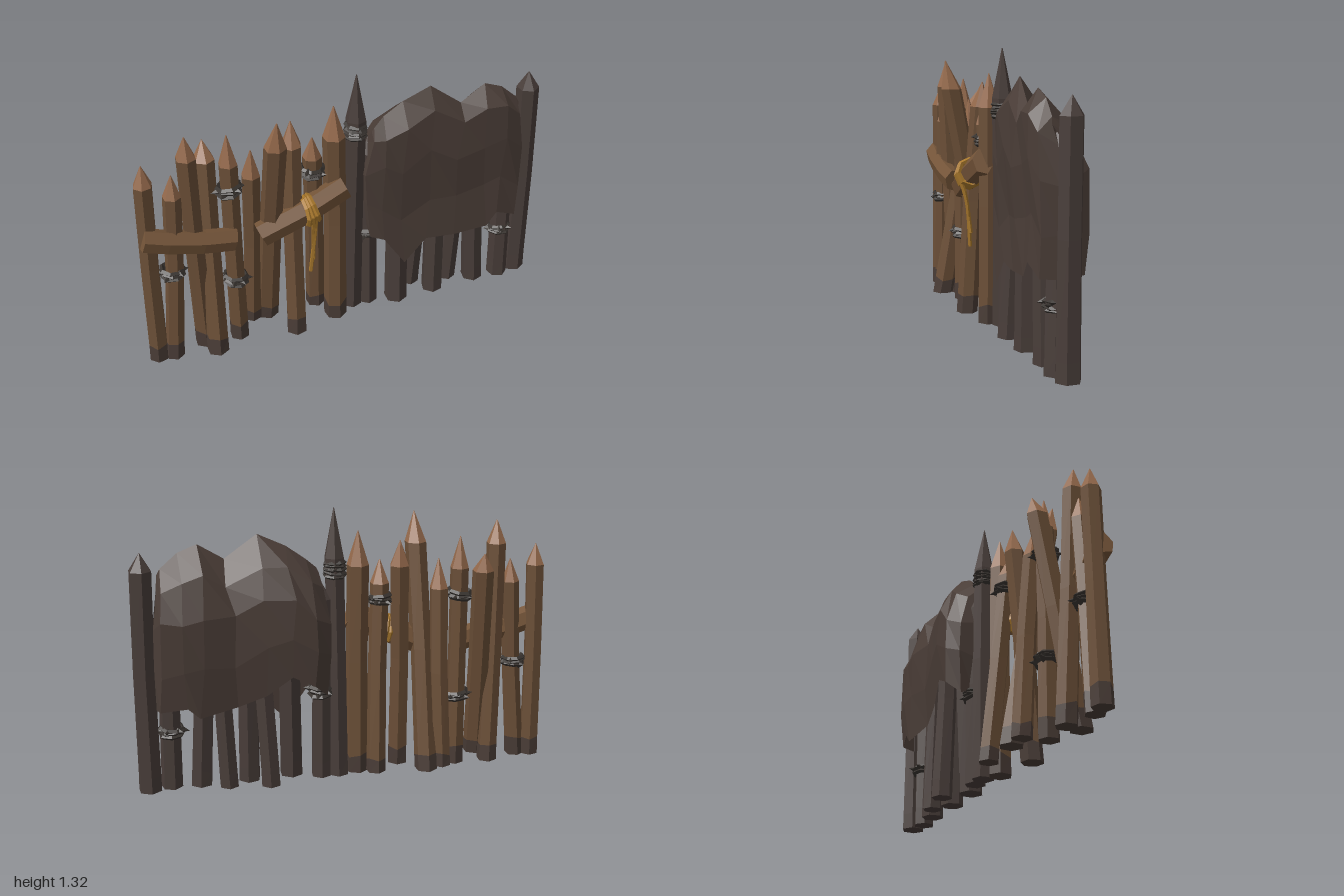
import * as THREE from 'three';

const mat = (name, color) => {
  const m = new THREE.MeshStandardMaterial({ color, flatShading: true, side: THREE.DoubleSide });
  m.name = name;
  return m;
};

// Skin between equal-length rings of [x, y, z]; rings may be closed and capped
function loft(rings, closed = true, caps = true) {
  const out = [], n = rings[0].length;
  const tri = (a, b, c) => out.push(...a, ...b, ...c);
  for (let k = 0; k < rings.length - 1; k++) {
    for (let i = 0; i < (closed ? n : n - 1); i++) {
      const j = (i + 1) % n, a = rings[k], b = rings[k + 1];
      tri(a[i], a[j], b[j]);
      tri(a[i], b[j], b[i]);
    }
  }
  if (caps) {
    const last = rings[rings.length - 1];
    for (let i = 1; i < n - 1; i++) {
      tri(rings[0][0], rings[0][i + 1], rings[0][i]);
      tri(last[0], last[i], last[i + 1]);
    }
  }
  const g = new THREE.BufferGeometry();
  g.setAttribute('position', new THREE.Float32BufferAttribute(out, 3));
  g.computeVertexNormals();
  return g;
}

// Horizontal hexagon around a point
const hex = (x, y, z, r, turn) => Array.from({ length: 6 }, (_, i) => {
  const a = turn + i * Math.PI / 3;
  return [x + r * Math.sin(a), y, z + r * Math.cos(a)];
});

export function createModel() {
  const model = new THREE.Group();
  model.name = 'palisade';
  const wood = mat('brown wood', 0x6b4f37);
  const cutWood = mat('cut wood', 0x94694b);
  const plankWood = mat('plank wood', 0x755539);
  const foot = mat('stained foot', 0x493c36);
  const darkWood = mat('dark wood', 0x483d39);
  const hideMat = mat('hide', 0x4a3d37);
  const cord = mat('dark cord', 0x38332f);
  const rope = mat('yellow rope', 0xa8782c);

  let seed = 7;
  const rnd = () => (seed = (seed * 16807) % 2147483647) / 2147483647 - 0.5;
  const add = (name, geo, m, parent = model) => {
    const mesh = new THREE.Mesh(geo, m);
    mesh.name = name;
    parent.add(mesh);
    return mesh;
  };

  // Pointed hexagonal stake leaning from its base to its shoulder
  function stake(name, [xb, zb, xt, zt, shoulder, tip, r, y0 = 0.003], footMat, shaftMat, tipMat) {
    const g = new THREE.Group();
    g.name = name;
    model.add(g);
    const turn = rnd() * 0.5;
    const ring = (y, s = 1, j = 0) => {
      const t = (y - y0) / (shoulder - y0);
      return hex(xb + (xt - xb) * t + rnd() * j, y, zb + (zt - zb) * t + rnd() * j, r * s, turn);
    };
    const ankle = ring(0.09, 1.02).map(([x, y, z]) => [x, y + rnd() * 0.025, z]);
    const neck = ring(shoulder, 0.98);
    add('foot', loft([ring(y0, 1.04), ankle]), footMat, g);
    add('shaft', loft([ankle, ring(shoulder * 0.55, 0.97, 0.012), neck]), shaftMat, g);
    const tx = xt + (xt - xb) * 0.08, tz = zt + (zt - zb) * 0.15;
    add('tip', loft([neck, hex(tx, tip, tz, 0.002, turn)]), tipMat, g);
  }

  // base x, base z, top x, top z, shoulder height, tip height, radius, base height
  [
    [-0.955, 0.03, -0.937, 0.03, 0.99, 1.09, 0.046],
    [-0.88, 0.04, -0.818, 0.04, 0.91, 1.02, 0.044],
    [-0.72, 0.0, -0.743, 0.05, 1.1, 1.21, 0.048],
    [-0.68, 0.09, -0.64, -0.07, 1.0, 1.085, 0.052, 0.015],
    [-0.55, 0.01, -0.55, 0.01, 1.0, 1.15, 0.046],
    [-0.46, -0.07, -0.447, 0.0, 0.91, 1.05, 0.046, 0.03],
    [-0.38, -0.08, -0.363, 0.122, 1.11, 1.25, 0.053, 0.02],
    [-0.275, 0.07, -0.255, 0.005, 1.03, 1.15, 0.05],
    [-0.13, -0.07, -0.16, 0.01, 0.95, 1.06, 0.046, 0.03],
    [-0.055, 0.02, -0.058, 0.02, 1.04, 1.2, 0.054],
  ].forEach(p => stake('brownStake', p, foot, wood, cutWood));

  [
    [0.045, -0.02, 0.06, -0.01, 1.09, 1.32, 0.05, 0.012],
    [0.13, -0.02, 0.125, -0.02, 0.9, 0.98, 0.048, 0.012],
    [0.27, 0.02, 0.275, -0.02, 0.95, 1.03, 0.055, 0.015],
    [0.385, -0.08, 0.42, -0.04, 0.95, 1.03, 0.048, 0.015],
    [0.475, 0.01, 0.47, -0.01, 0.95, 1.03, 0.052, 0.012],
    [0.58, -0.05, 0.62, -0.02, 0.95, 1.03, 0.046, 0.015],
    [0.705, 0.0, 0.66, 0, 0.95, 1.03, 0.052, 0.015],
    [0.845, 0.01, 0.83, -0.01, 0.95, 1.03, 0.05, 0.012],
    [0.948, -0.01, 0.938, -0.02, 1.08, 1.16, 0.055, 0.012],
  ].forEach(p => stake('darkStake', p, darkWood, darkWood, darkWood));

  // Rough cross planks: hexagonal sections square to a line of centre points
  function plank(name, pts, h, d) {
    const last = pts.length - 1;
    const slope = (pts[last][1] - pts[0][1]) / (pts[last][0] - pts[0][0]);
    const rings = pts.map(([x, y, z]) => hex(0, 0, 0, 1, 0.3).map(([a, , b]) =>
      [x - b * h * slope, y + b * h, z + a * d]));
    add(name, loft(rings), plankWood);
  }
  plank('leftPlank', [[-0.97, 0.725, 0.06], [-0.86, 0.69, 0.065], [-0.7, 0.65, 0.065], [-0.555, 0.625, 0.06]], 0.058, 0.048);
  plank('rightPlank', [[-0.43, 0.612, 0.055], [-0.22, 0.7, 0.07], [-0.02, 0.79, 0.06]], 0.06, 0.052);

  // Yellow lashing around the right plank with hanging ends
  const lashing = new THREE.Group();
  lashing.name = 'lashing';
  model.add(lashing);
  for (let i = -1; i <= 1; i++) {
    const loop = add('ropeLoop', new THREE.TorusGeometry(0.062, 0.014, 5, 8), rope, lashing);
    loop.position.set(-0.2 + i * 0.018, 0.71 + i * 0.008, 0.075);
    loop.rotation.set(0, Math.PI / 2, 0.2 + i * 0.1, 'ZYX');
  }
  [[-0.185, 0.35, -0.198], [-0.195, 0.42, -0.183]].forEach(([x0, y1, x1]) => {
    const path = new THREE.CatmullRomCurve3([new THREE.Vector3(x0, 0.69, 0.13),
      new THREE.Vector3(x0 + 0.005, 0.6, 0.1), new THREE.Vector3(x1, y1, 0.075)]);
    add('ropeEnd', new THREE.TubeGeometry(path, 5, 0.01, 5), rope, lashing);
  });

  // Dark cord bindings with spiky loose ends
  function binding(x, y, z, r = 0.052, spikes = true) {
    const g = new THREE.Group();
    g.name = 'binding';
    g.position.set(x, y, z);
    model.add(g);
    for (let i = -1; i <= 1; i++) {
      const t = add('cordLoop', new THREE.TorusGeometry(r, 0.012, 4, 7), cord, g);
      t.position.y = i * 0.015;
      t.rotation.set(Math.PI / 2 + rnd() * 0.25, rnd() * 0.25, rnd() * 2);
    }
    if (!spikes) return;
    for (let i = 0; i < 6; i++) {
      const a = i * Math.PI / 3 + rnd() * 0.4;
      const s = add('cordEnd', new THREE.ConeGeometry(0.018, 0.04, 4), cord, g);
      s.position.set(Math.cos(a) * (r + 0.012), rnd() * 0.03, Math.sin(a) * (r + 0.008));
      s.rotation.set(0, -a, -Math.PI / 2 + rnd() * 0.6, 'YXZ');
    }
  }
  binding(-0.555, 0.87, 0.01);
  binding(-0.55, 0.36, 0.01);
  binding(-0.85, 0.505, 0.04, 0.05);
  binding(-0.16, 0.875, 0.005, 0.05);
  binding(0.13, 0.45, -0.02);
  binding(0.835, 0.3, 0.0);
  binding(0.058, 1.02, -0.01, 0.046, false);
  binding(0.058, 1.05, -0.01, 0.044, false);

  // Draped hide: x at top / middle / bottom, crest, front hem, back hem, front z, back z
  const columns = [
    [0.13, 0.075, 0.115, 1.02, 0.47, 0.47, -0.03, -0.05],
    [0.14, 0.08, 0.12, 1.04, 0.45, 0.45, 0.05, -0.12],
    [0.19, 0.17, 0.19, 1.085, 0.43, 0.52, 0.07, -0.165],
    [0.28, 0.27, 0.275, 1.15, 0.275, 0.57, 0.085, -0.165],
    [0.41, 0.4, 0.4, 1.21, 0.395, 0.48, 0.085, -0.145],
    [0.56, 0.54, 0.54, 1.1, 0.385, 0.43, 0.09, -0.12],
    [0.68, 0.68, 0.7, 1.175, 0.4, 0.4, 0.1, -0.14],
    [0.77, 0.78, 0.76, 1.14, 0.47, 0.45, 0.1, -0.145],
    [0.85, 0.89, 0.88, 1.07, 0.42, 0.43, 0.085, -0.125],
    [0.865, 0.905, 0.9, 1.04, 0.42, 0.42, 0.01, -0.04],
  ];
  // height fraction from hem to crest, share of depth
  const frontDrape = [[0, 1.03], [0.3, 0.9], [0.6, 0.98], [0.87, 0.93]];
  const backDrape = [[0, 0.9], [0.3, 1], [0.62, 0.98], [0.86, 0.62]];
  const strips = columns.map(([xt, xm, xb, top, hemF, hemB, zf, zb], c) => {
    const mid = 0.015, wob = c % 9 === 0 ? 0.004 : 0.028;
    const side = (drape, hem, z) => drape.map(([t, s]) => {
      const x = t < 0.5 ? xb + (xm - xb) * t * 2 : xm + (xt - xm) * (t - 0.5) * 2;
      return [x + rnd() * wob, hem + (top - hem) * t + (t ? rnd() * wob * 2.5 : 0), mid + (z - mid) * s + (s < 1 ? rnd() * wob * 0.8 : 0)];
    });
    const crest = [xt, top, (zf + zb) / 2 + 0.05];
    return [...side(frontDrape, hemF, zf), crest, ...side(backDrape, hemB, zb).reverse()];
  });
  add('hide', loft(strips.reverse(), false, false), hideMat);

  return model;
}
